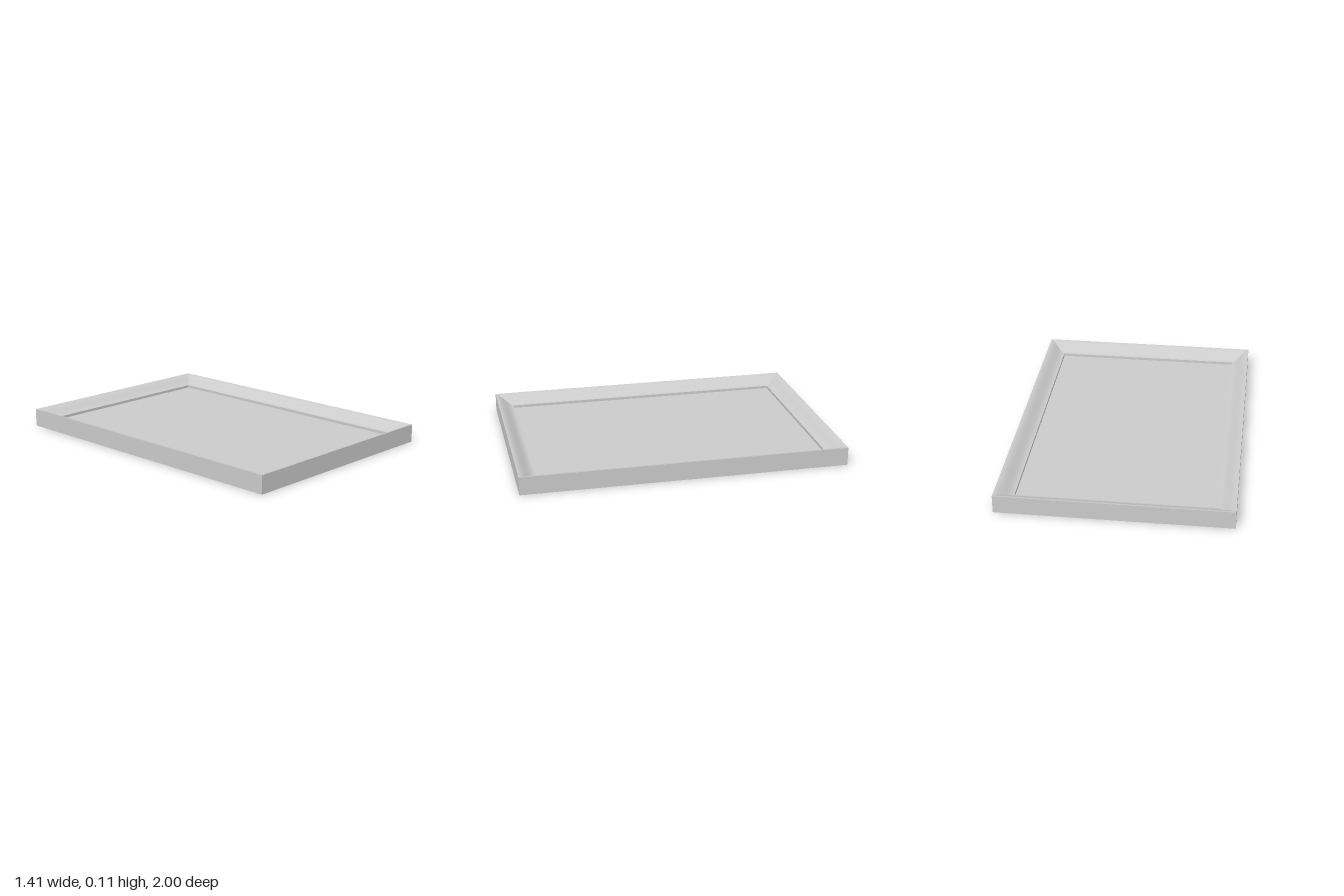
import * as THREE from 'three';
import { mergeGeometries, toCreasedNormals } from 'three/addons/utils/BufferGeometryUtils.js';

const HALF_W = 0.705, HALF_L = 1, HEIGHT = 0.112;
const RIM = 0.11, LIP_Y = 0.06, PANEL_Y = 0.043;

// Moulding cross-section as [distance in from the outer edge, height]
function mouldingProfile(steps = 14) {
  const points = [[0, 0]];
  for (let i = 0; i <= steps; i++) {
    const t = i / steps;
    points.push([RIM * t, LIP_Y + (HEIGHT - LIP_Y) * (0.5 + 0.5 * Math.cos(Math.PI * t))]);
  }
  points.push([RIM, 0], [0, 0]);
  return points;
}

// One mitred side of the frame, swept between two neighbouring corners
function frameSide(profile, from, to) {
  const at = ([sx, sz], [d, y]) => [sx * (HALF_W - d), y, sz * (HALF_L - d)];
  const positions = [];
  for (let j = 0; j < profile.length - 1; j++) {
    const a = at(from, profile[j]), b = at(to, profile[j]);
    const c = at(to, profile[j + 1]), d = at(from, profile[j + 1]);
    positions.push(...a, ...b, ...c, ...a, ...c, ...d);
  }
  const geometry = new THREE.BufferGeometry();
  geometry.setAttribute('position', new THREE.Float32BufferAttribute(positions, 3));
  return toCreasedNormals(geometry, 0.6);
}

export function createModel() {
  const model = new THREE.Group();
  model.name = 'pictureFrame';
  const material = new THREE.MeshStandardMaterial({ color: 0xcccccc });

  // Four mitred sides with a curved inward slope
  const corners = [[1, 1], [1, -1], [-1, -1], [-1, 1]];
  const profile = mouldingProfile();
  const sides = corners.map((c, i) => frameSide(profile, c, corners[(i + 1) % 4]));
  const frame = new THREE.Mesh(mergeGeometries(sides), material);
  frame.name = 'frameMoulding';
  model.add(frame);

  // Flat panel sunk just below the inner lip
  const panel = new THREE.Mesh(
    new THREE.BoxGeometry(2 * (HALF_W - RIM), PANEL_Y, 2 * (HALF_L - RIM)), material);
  panel.position.y = PANEL_Y / 2;
  panel.name = 'picturePanel';
  model.add(panel);

  return model;
}
